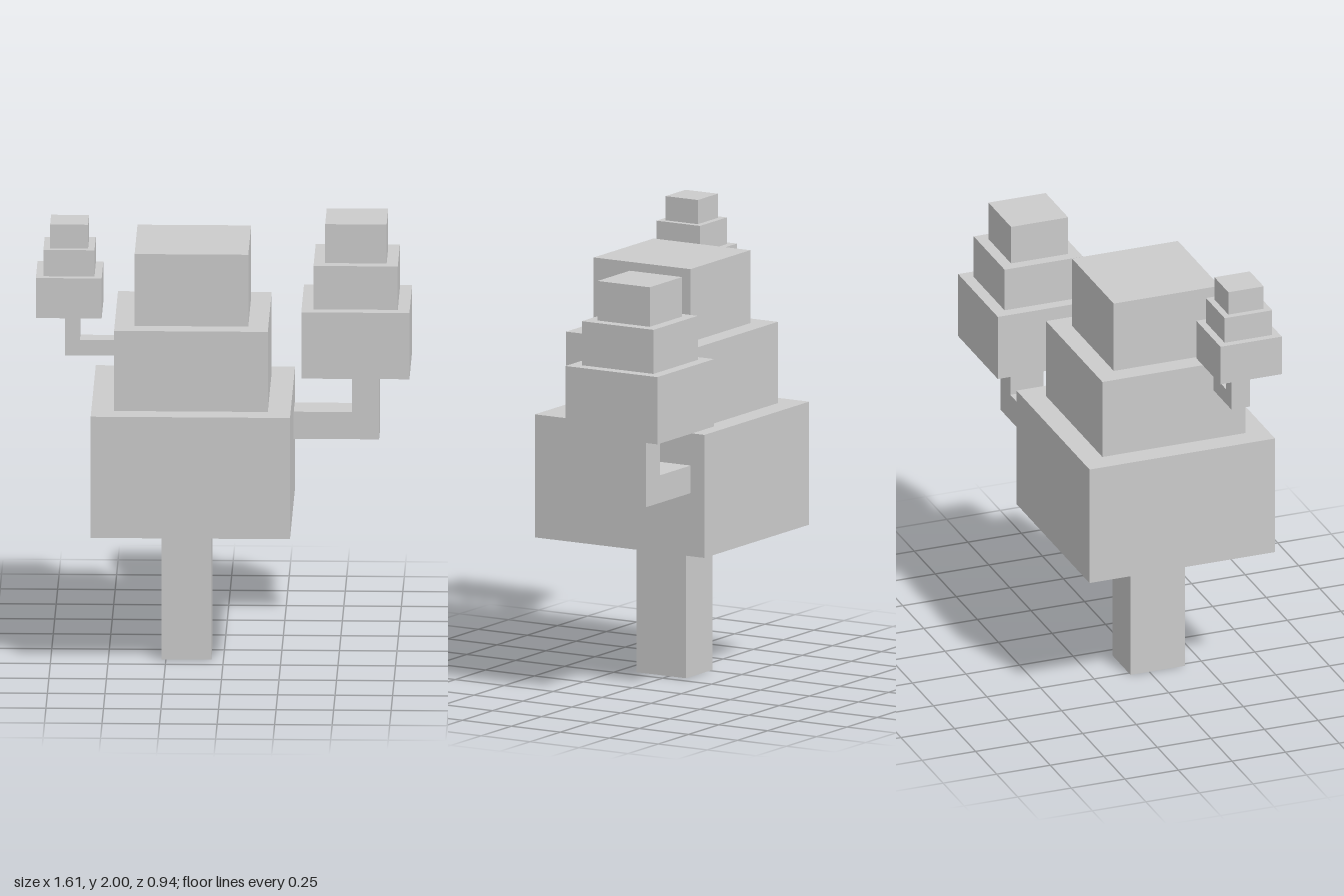
import * as THREE from 'three';

const material = new THREE.MeshStandardMaterial({ color: 0xcccccc, flatShading: true });

// Box from its extents on each axis
function box(name, [x0, x1], [y0, y1], [z0, z1]) {
  const mesh = new THREE.Mesh(new THREE.BoxGeometry(x1 - x0, y1 - y0, z1 - z0), material);
  mesh.name = name;
  mesh.position.set((x0 + x1) / 2, (y0 + y1) / 2, (z0 + z1) / 2);
  return mesh;
}

// Stack of square tiers, each narrower than the one below
function foliage(name, x, z, widths, heights) {
  const group = new THREE.Group();
  group.name = name;
  widths.forEach((w, i) => {
    const h = w / 2;
    group.add(box(`${name}Tier${i + 1}`, [x - h, x + h], [heights[i], heights[i + 1]], [z - h, z + h]));
  });
  return group;
}

// Elbow branch: an L outline extruded along z
function branch(name, outline, z0, z1) {
  const shape = new THREE.Shape(outline.map(([x, y]) => new THREE.Vector2(x, y)));
  const mesh = new THREE.Mesh(
    new THREE.ExtrudeGeometry(shape, { depth: z1 - z0, bevelEnabled: false }), material);
  mesh.name = name;
  mesh.position.z = z0;
  return mesh;
}

export function createModel() {
  const tree = new THREE.Group();
  tree.name = 'tree';

  // Trunk and main crown
  tree.add(box('trunk', [-0.27, -0.053], [0, 0.625], [-0.088, 0.167]));
  tree.add(foliage('mainCrown', -0.136, 0.036, [0.866, 0.668, 0.494], [0.625, 1.17, 1.53, 1.853]));

  // Large left branch with its crown
  tree.add(branch('leftBranch', [
    [0.297, 0.905], [0.668, 0.905], [0.668, 1.222], [0.55, 1.222], [0.55, 1.027], [0.297, 1.027],
  ], -0.327, -0.172));
  tree.add(foliage('leftCrown', 0.569, -0.235, [0.47, 0.366, 0.267], [1.222, 1.52, 1.715, 1.89]));

  // Small right branch with its crown
  tree.add(branch('rightBranch', [
    [-0.467, 1.402], [-0.467, 1.472], [-0.62, 1.472], [-0.62, 1.595], [-0.684, 1.595], [-0.684, 1.402],
  ], 0.22, 0.307));
  tree.add(foliage('rightCrown', -0.666, 0.263, [0.286, 0.222, 0.165], [1.595, 1.775, 1.893, 2]));

  return tree;
}
